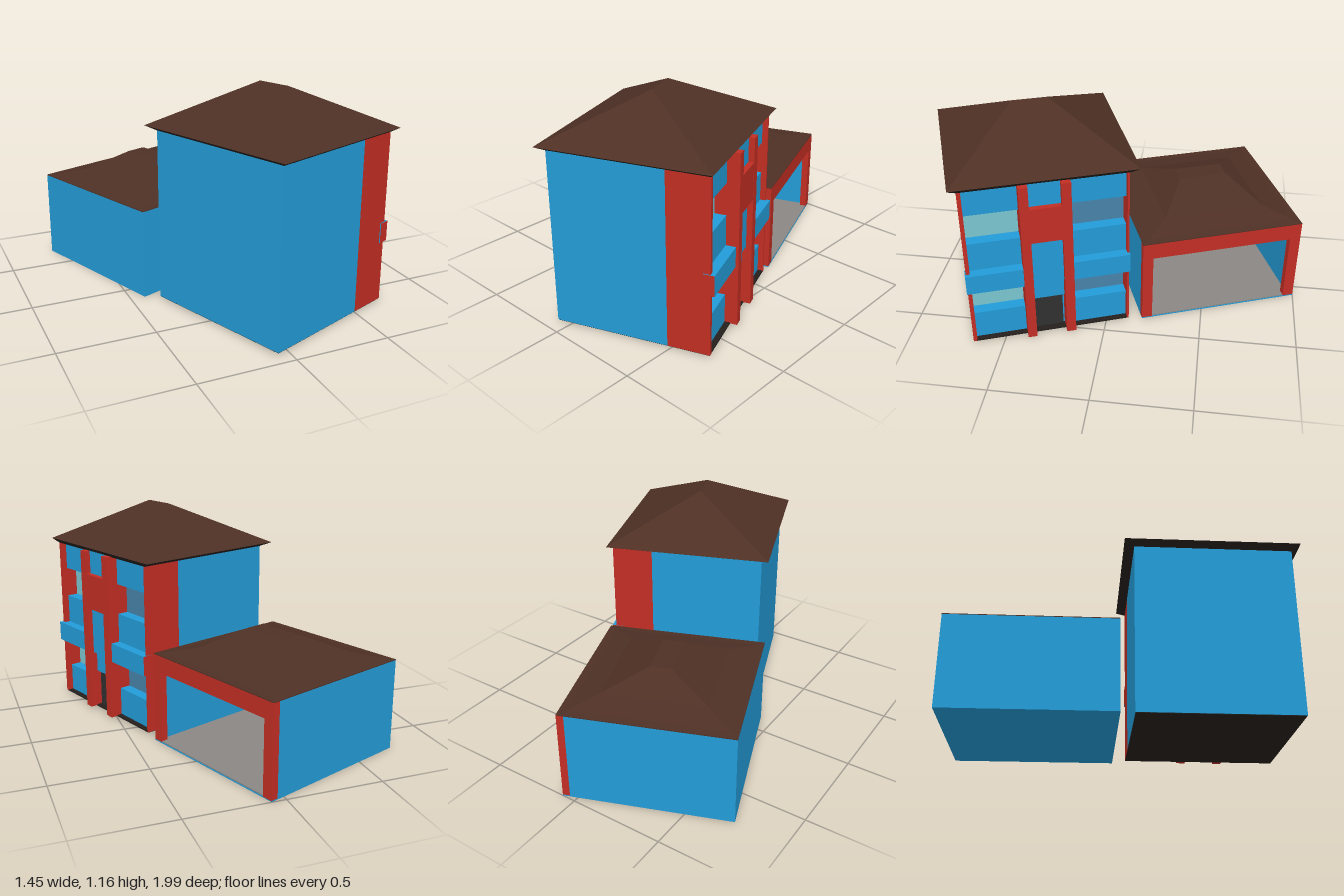
import * as THREE from 'three';

const mat = (name, color, extra = {}) => {
  const m = new THREE.MeshStandardMaterial({ color, ...extra });
  m.name = name;
  return m;
};

export function createModel() {
  const blue = mat('blue wall', 0x239cd8);
  const red = mat('red trim', 0xc22e24);
  const brown = mat('brown roof', 0x4e3025);
  const dark = mat('dark underside', 0x25201d);
  const paleGlass = mat('pale glass', 0x7ac6d0);
  const steelGlass = mat('steel glass', 0x4783aa);
  const door = mat('door charcoal', 0x303030);
  const grey = mat('grey floor', 0x8a8783);

  const model = new THREE.Group();
  model.name = 'houseWithGarage';
  const site = new THREE.Group();
  site.name = 'rotatedSite';
  site.rotation.y = THREE.MathUtils.degToRad(20.7);
  model.add(site);

  // Box given by its limits on each axis
  const box = (parent, name, m, x0, x1, y0, y1, z0, z1) => {
    const mesh = new THREE.Mesh(new THREE.BoxGeometry(x1 - x0, y1 - y0, z1 - z0), m);
    mesh.position.set((x0 + x1) / 2, (y0 + y1) / 2, (z0 + z1) / 2);
    mesh.name = name;
    parent.add(mesh);
    return mesh;
  };

  // Faceted shell through rectangles [x0, x1, z0, z1, y], listed from bottom to top
  const loft = (parent, name, m, rings, capBottom, capTop) => {
    const loops = rings.map(([x0, x1, z0, z1, y]) =>
      [[x0, y, z1], [x1, y, z1], [x1, y, z0], [x0, y, z0]]);
    const pos = [];
    const quad = (a, b, c, d) => pos.push(...a, ...b, ...c, ...a, ...c, ...d);
    for (let r = 0; r < loops.length - 1; r++) {
      for (let i = 0; i < 4; i++) {
        const j = (i + 1) % 4;
        quad(loops[r][i], loops[r][j], loops[r + 1][j], loops[r + 1][i]);
      }
    }
    if (capBottom) quad(...[...loops[0]].reverse());
    if (capTop) quad(...loops[loops.length - 1]);
    const g = new THREE.BufferGeometry();
    g.setAttribute('position', new THREE.Float32BufferAttribute(pos, 3));
    g.computeVertexNormals();
    const mesh = new THREE.Mesh(g, m);
    mesh.name = name;
    parent.add(mesh);
  };

  // ---- Main house ----
  const house = new THREE.Group();
  house.name = 'mainHouse';
  site.add(house);
  const Y0 = 0.015, Y1 = 0.925, Z0 = 0.03, Z1 = 0.855;
  box(house, 'blueBody', blue, -0.39, 0.2, Y0, Y1, Z0, Z1);
  box(house, 'redBody', red, 0.2, 0.32, Y0, Y1, Z0, Z1);
  box(house, 'frontCornerWall', red, 0.32, 0.415, Y0, Y1, 0.835, Z1);
  box(house, 'backCornerWall', red, 0.32, 0.415, Y0, Y1, Z0, 0.04);
  box(house, 'baseSlab', dark, -0.388, 0.413, 0.012, 0.02, 0.032, 0.853);

  // Facade pillars
  for (const [z0, z1] of [[0.322, 0.37], [0.528, 0.574]]) {
    box(house, 'pillar', red, 0.32, 0.45, Y0, Y1, z0, z1);
  }

  // Window bays: panels, glass and a projecting belt with red ends
  const beltMats = [blue, blue, blue, blue, red, red];
  for (const [z0, z1, b0, b1, glass] of [
    [0.574, 0.835, 0.574, 0.86, paleGlass],
    [0.04, 0.322, 0.028, 0.322, steelGlass],
  ]) {
    for (const [y0, y1] of [[Y0, 0.175], [0.34, 0.605], [0.77, Y1]]) {
      box(house, 'bayPanel', blue, 0.32, 0.385, y0, y1, z0, z1);
    }
    for (const y of [0.175, 0.605]) {
      box(house, 'windowGlass', glass, 0.319, 0.326, y, y + 0.165, z0, z1);
    }
    box(house, 'belt', beltMats, 0.38, 0.436, 0.34, 0.447, b0, b1);
  }

  // Entrance bay
  box(house, 'entranceDoor', door, 0.372, 0.38, Y0, 0.225, 0.378, 0.528);
  box(house, 'entranceBack', blue, 0.32, 0.373, Y0, 0.25, 0.37, 0.528);
  box(house, 'entranceLintel', blue, 0.32, 0.4, 0.225, 0.34, 0.37, 0.528);
  box(house, 'entrancePanel', blue, 0.32, 0.42, 0.34, 0.605, 0.37, 0.528);
  box(house, 'entranceRedPanel', red, 0.32, 0.449, 0.605, 0.8, 0.37, 0.528);
  box(house, 'entranceTopPanel', blue, 0.32, 0.42, 0.8, Y1, 0.37, 0.528);

  // Hipped roof with a dark sloping soffit
  const eave = [-0.43, 0.437, -0.021, 0.896, 0.945];
  loft(house, 'soffit', dark, [[-0.39, 0.415, Z0, Z1, 0.921], eave], true, false);
  loft(house, 'mainRoof', brown, [eave, [0.003, 0.003, 0.355, 0.535, 1.163]], false, false);

  // ---- Garage ----
  const garage = new THREE.Group();
  garage.name = 'garage';
  site.add(garage);
  const gx0 = -0.436, gx1 = 0.422, gz0 = -0.909, gz1 = -0.042, gy = 0.48, fx = 0.385;
  box(garage, 'garageBackWall', blue, gx0, gx0 + 0.03, 0, gy, gz0, gz1);
  box(garage, 'garageFarWall', blue, gx0, fx, 0, gy, gz0, gz0 + 0.03);
  box(garage, 'garageNearWall', blue, gx0, fx, 0, gy, gz1 - 0.03, gz1);
  box(garage, 'garageBase', blue, gx0, gx1, 0, 0.006, gz0, gz1);
  box(garage, 'garageFloor', grey, gx0 + 0.03, gx1 - 0.002, 0.005, 0.011, -0.879, -0.072);
  box(garage, 'garageCeiling', brown, gx0 + 0.03, fx, 0.465, gy, -0.879, -0.072);

  // Red frame round the garage opening
  box(garage, 'openingPost', red, fx, gx1, 0.004, gy, gz0, -0.851);
  box(garage, 'openingPost', red, fx, gx1, 0.004, gy, -0.097, gz1);
  box(garage, 'openingBeam', red, fx, gx1, 0.39, gy, -0.851, -0.097);

  // Low hipped roof with a shallow skirt
  loft(garage, 'garageRoof', brown, [
    [gx0, gx1, gz0, gz1, 0.48],
    [gx0, gx1, gz0, gz1, 0.484],
    [gx0 + 0.04, gx1 - 0.04, gz0 + 0.04, gz1 - 0.04, 0.487],
    [gx0 + 0.165, gx1 - 0.165, gz0 + 0.165, gz1 - 0.165, 0.52],
    [-0.06, 0.046, -0.605, -0.345, 0.615],
  ], false, true);

  return model;
}
